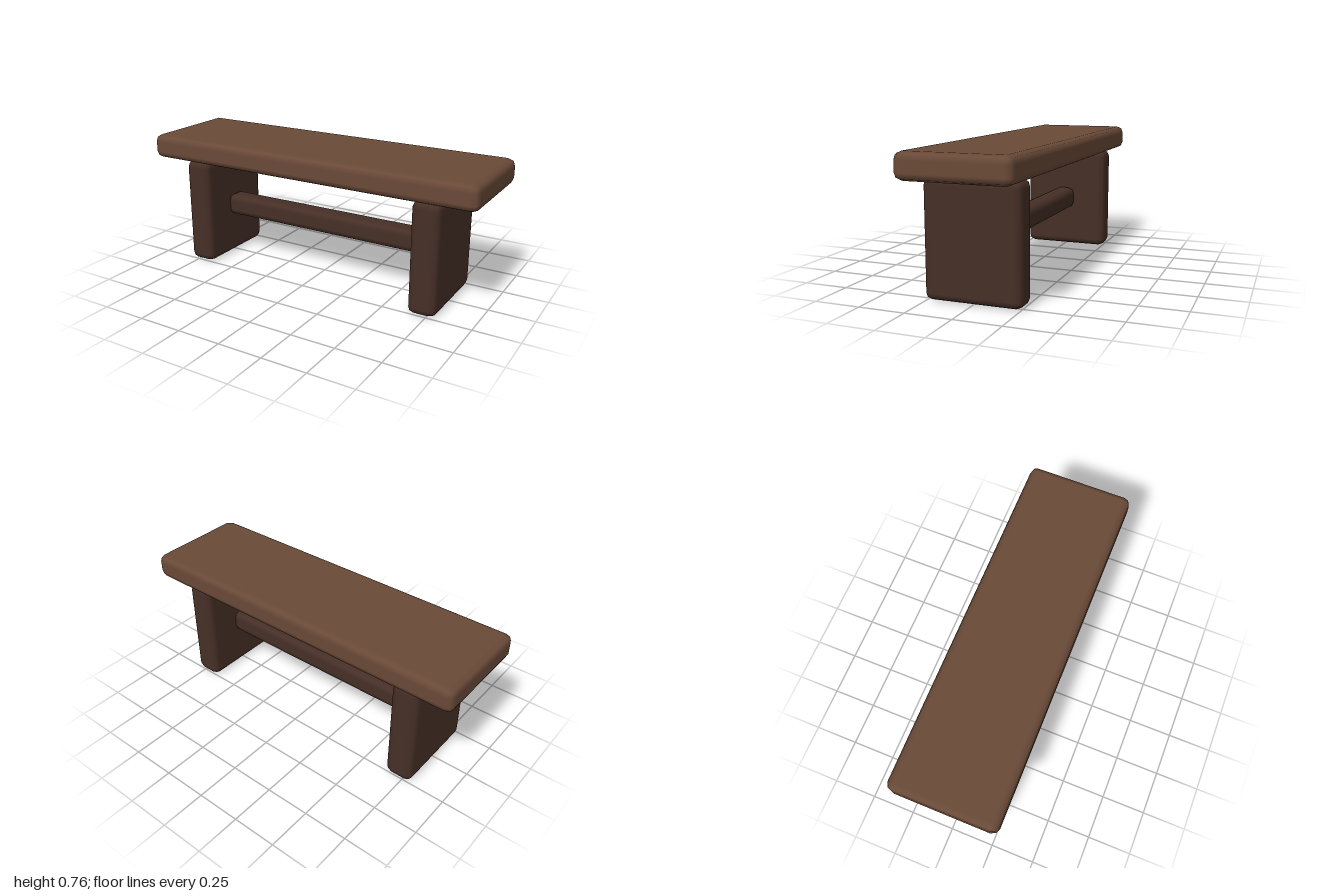
import * as THREE from 'three';
import { RoundedBoxGeometry } from 'three/addons/geometries/RoundedBoxGeometry.js';

export function createModel() {
  const bench = new THREE.Group();
  bench.name = 'bench';

  const seatWood = new THREE.MeshStandardMaterial({ color: 0x6a4a38 });
  seatWood.name = 'seatWood';
  const darkWood = new THREE.MeshStandardMaterial({ color: 0x462f26 });
  darkWood.name = 'darkWood';

  // Timber block with softly chamfered edges, placed by its centre
  function plank(name, size, position, material) {
    const mesh = new THREE.Mesh(new RoundedBoxGeometry(...size, 1, 0.04), material);
    mesh.name = name;
    mesh.position.set(...position);
    bench.add(mesh);
  }

  // Long top board
  plank('seat', [2, 0.14, 0.6], [0, 0.69, 0], seatWood);

  // Slab legs, mirrored left and right
  for (const side of [1, -1]) {
    plank(side > 0 ? 'leftLeg' : 'rightLeg', [0.16, 0.62, 0.52], [side * 0.72, 0.31, 0], darkWood);
  }

  // Rail joining the legs, its ends sunk slightly into them
  plank('stretcher', [1.32, 0.13, 0.13], [0, 0.314, 0], darkWood);

  return bench;
}
